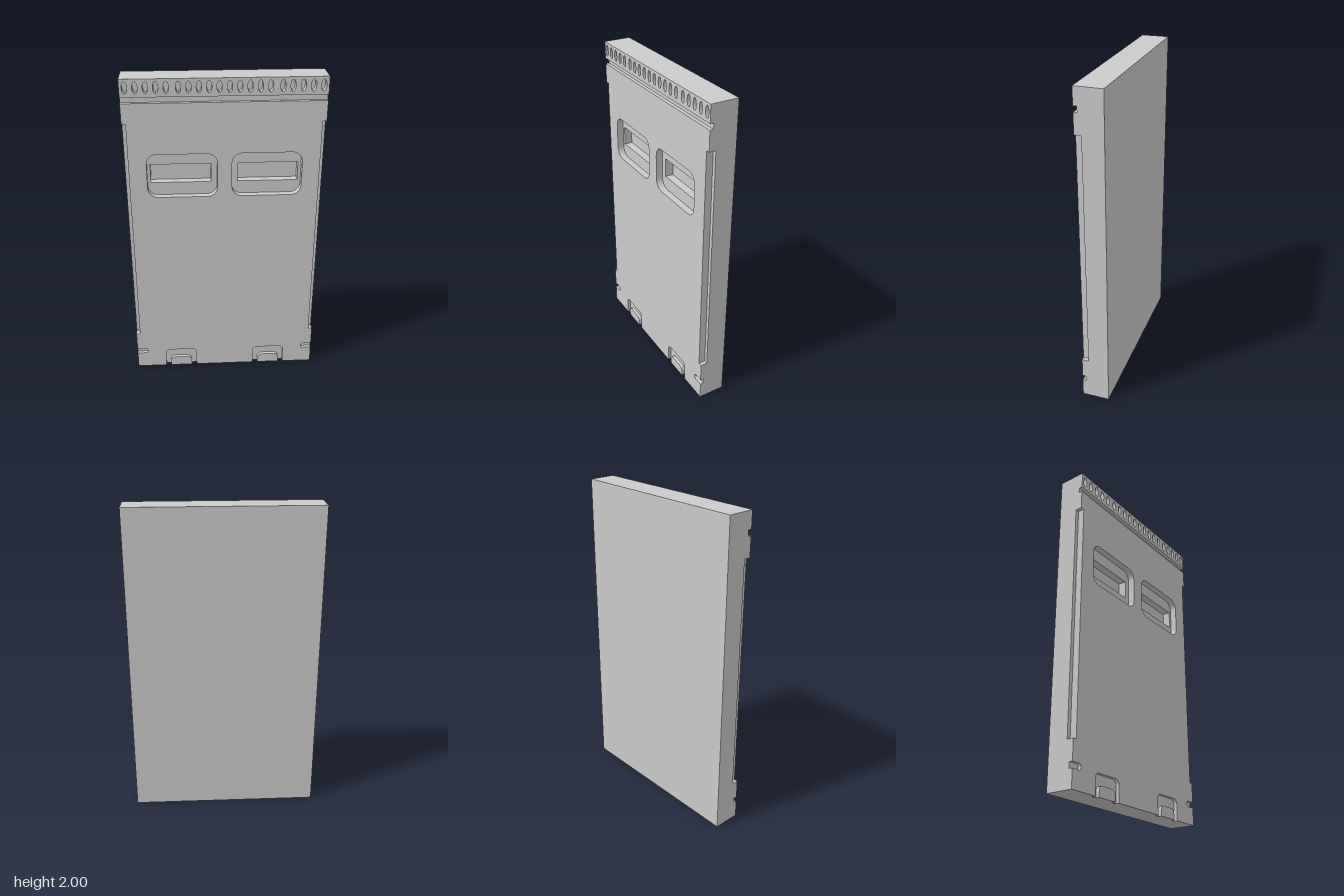
import * as THREE from 'three';
import { toCreasedNormals } from 'three/addons/utils/BufferGeometryUtils.js';

const W = 0.592, H = 2;
// Depth levels: back, slot floor, deep pocket floor, shallow groove floor, front
const BACK = -0.085, SLOT = -0.007, DEEP = 0.043, SHALLOW = 0.063, FRONT = 0.085;

const material = new THREE.MeshStandardMaterial({ color: 0xcccccc });

// Closed outline from [x, y, cornerRadius] points
function outline(points) {
  const shape = new THREE.Shape();
  const n = points.length;
  points.forEach(([x, y, r = 0], i) => {
    const toward = ([px, py], d) => {
      const l = Math.hypot(px - x, py - y);
      return [x + (px - x) * d / l, y + (py - y) * d / l];
    };
    const prev = points[(i + n - 1) % n], next = points[(i + 1) % n];
    const start = toward(prev, r);
    if (i === 0) shape.moveTo(...start); else shape.lineTo(...start);
    if (r) shape.bezierCurveTo(...toward(prev, r * 0.45), ...toward(next, r * 0.45), ...toward(next, r));
  });
  shape.closePath();
  return shape;
}

// Rectangle with separate radii for its left/right and bottom/top corners
function rect(x0, x1, y0, y1, rBottom = 0, rTop = rBottom) {
  return outline([[x0, y0, rBottom], [x1, y0, rBottom], [x1, y1, rTop], [x0, y1, rTop]]);
}

// Outline symmetric about x = 0, from its right half listed bottom to top
function symmetric(half) {
  return outline([...half, ...half.map(([x, y, r]) => [-x, y, r]).reverse()]);
}

function oval(x, y) {
  const shape = new THREE.Shape();
  shape.absellipse(x, y, 0.015, 0.035, 0, Math.PI * 2);
  return shape;
}

function withHoles(shape, holes) {
  shape.holes.push(...holes);
  return shape;
}

export function createModel() {
  const model = new THREE.Group();

  function add(name, geometry) {
    const mesh = new THREE.Mesh(geometry, material);
    mesh.name = name;
    model.add(mesh);
    return mesh;
  }

  // Upright side walls of a layer, without its caps
  function walls(name, shape, z0, z1) {
    const solid = new THREE.ExtrudeGeometry(shape, { depth: z1 - z0, bevelEnabled: false, curveSegments: 8 });
    const { start, count } = solid.groups[1];
    const positions = solid.attributes.position.array.slice(start * 3, (start + count) * 3);
    const geometry = new THREE.BufferGeometry();
    geometry.setAttribute('position', new THREE.BufferAttribute(positions, 3));
    add(name, toCreasedNormals(geometry, 0.6)).position.z = z0;
  }

  // Flat faces looking forward
  function face(name, shapes, z) {
    add(name, new THREE.ShapeGeometry(shapes, 8)).position.z = z;
  }

  const sides = [-1, 1];
  const windows = () => sides.map(s => rect(s * 0.253 - 0.209, s * 0.253 + 0.209, 1.275, 1.55, 0.06));
  const slots = () => sides.map(s => rect(s * 0.262 - 0.181, s * 0.262 + 0.181, 1.355, 1.472));

  // Row of vents: groups of five, ten and five
  const vents = () => {
    const list = [];
    for (let i = 0; i < 10; i++) {
      const x = 0.029 + i * 0.058 + (i > 4 ? 0.011 : 0);
      list.push(oval(x, 1.95), oval(-x, 1.95));
    }
    return list;
  };

  // Back body and the layer cut by the deep slots
  const back = add('backFace', new THREE.PlaneGeometry(2 * W, H));
  back.position.set(0, H / 2, BACK);
  back.rotation.y = Math.PI;
  walls('backBody', rect(-W, W, 0, H), BACK, SLOT);
  walls('slotLayer', withHoles(rect(-W, W, 0, H), slots()), SLOT, DEEP);

  // Layer with side rebates, windows and vents
  const inset = 0.568, rebateLow = 0.27, rebateHigh = 1.738;
  const rebate = [[W, rebateLow], [inset, rebateLow], [inset, rebateHigh], [W, rebateHigh]];
  const middle = withHoles(symmetric([[W, 0], ...rebate, [W, H]]), [...windows(), ...vents()]);
  walls('middleLayer', middle, DEEP, SHALLOW);

  // Front skin with bottom recesses and edge notches, split by the top groove
  const skin = withHoles(symmetric([
    [0.193, 0], [0.193, 0.13, 0.03], [0.4, 0.13, 0.03], [0.4, 0],
    [W, 0], [W, 0.11], [0.522, 0.11, 0.017], [0.522, 0.146, 0.017], [W, 0.146],
    ...rebate, [W, 1.86],
  ]), windows());
  const band = withHoles(rect(-W, W, 1.895, H), vents());
  const tabs = sides.map(s => rect(s * 0.2965 - 0.071, s * 0.2965 + 0.071, 0, 0.066, 0, 0.03));
  walls('skinEdges', skin, SHALLOW, FRONT);
  walls('topBandEdges', band, SHALLOW, FRONT);
  tabs.forEach(tab => walls('tabEdges', tab, SHALLOW, FRONT));
  face('frontSkin', skin, FRONT);
  face('topBand', band, FRONT);
  face('tabFaces', tabs, FRONT);

  // Floors of the pockets
  face('slotFloors', slots(), SLOT);
  face('windowFloors', windows().map((w, i) => withHoles(w, [slots()[i]])), DEEP);
  face('ventFloors', vents(), DEEP);
  face('rebateFloors', sides.map(s => rect(s * inset, s * W, rebateLow, rebateHigh)), DEEP);
  face('grooveFloor', rect(-W, W, 1.86, 1.895), SHALLOW);
  face('notchFloors', sides.map(s => outline([
    [s * W, 0.11], [s * W, 0.146], [s * 0.522, 0.146, 0.017], [s * 0.522, 0.11, 0.017],
  ])), SHALLOW);
  // Recess floors arch around the tabs
  face('recessFloors', sides.map(s => outline([
    [0.193, 0], [0.2255, 0], [0.2255, 0.066, 0.03], [0.3675, 0.066, 0.03], [0.3675, 0],
    [0.4, 0], [0.4, 0.13, 0.03], [0.193, 0.13, 0.03],
  ].map(([x, y, r]) => [s * x, y, r]))), SHALLOW);

  return model;
}
